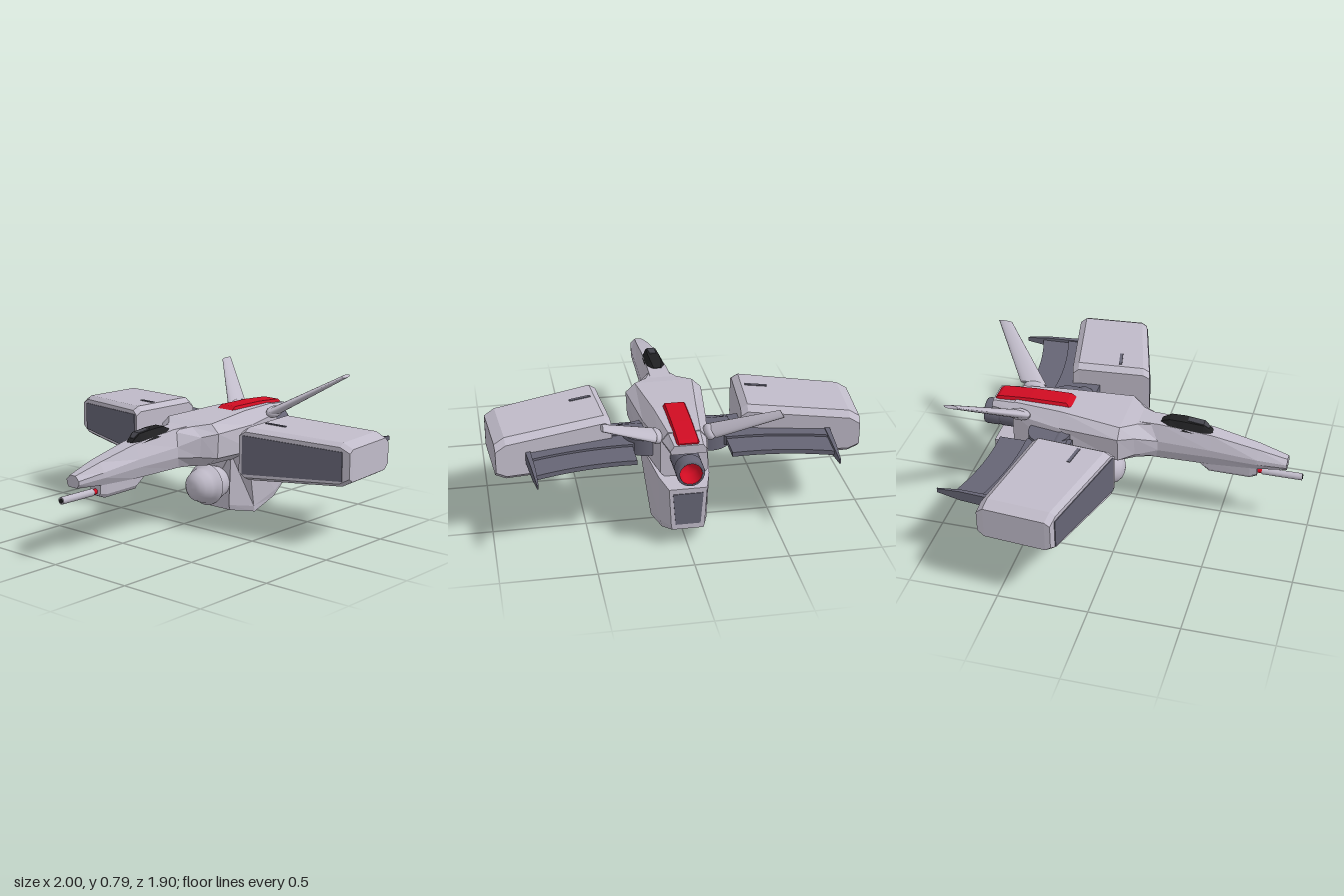
import * as THREE from 'three';

const mat = (name, color, extra = {}) => {
  const m = new THREE.MeshStandardMaterial({ color, ...extra });
  m.name = name;
  return m;
};

// Skin over closed rings (each clockwise seen from +z, ordered front to back), with end caps.
function loft(rings) {
  const p = [];
  const tri = (a, b, c) => p.push(...a, ...b, ...c);
  const n = rings[0].length;
  for (let i = 0; i < rings.length - 1; i++) {
    const [r, s] = [rings[i], rings[i + 1]];
    for (let j = 0; j < n; j++) {
      const k = (j + 1) % n;
      tri(r[j], r[k], s[k]);
      tri(r[j], s[k], s[j]);
    }
  }
  const [f, b] = [rings[0], rings[rings.length - 1]];
  for (let j = 1; j < n - 1; j++) {
    tri(f[0], f[j + 1], f[j]);
    tri(b[0], b[j], b[j + 1]);
  }
  const g = new THREE.BufferGeometry();
  g.setAttribute('position', new THREE.Float32BufferAttribute(p, 3));
  g.computeVertexNormals();
  return g;
}

// Symmetric ring from right-hand points listed top to bottom.
const sym = (half) => [...half, ...half.slice().reverse().map(([x, y, z]) => [-x, y, z])];
const at = (z, ...pts) => sym(pts.map(([x, y]) => [x, y, z]));

// Copy reflected in x with its faces turned the right way round.
function mirrored(geo) {
  const g = geo.index ? geo.toNonIndexed() : geo.clone();
  for (const a of Object.values(g.attributes)) {
    const s = a.itemSize, d = a.array;
    for (let i = 0; i < a.count; i += 3)
      for (let k = 0; k < s; k++) {
        const u = (i + 1) * s + k, v = (i + 2) * s + k;
        [d[u], d[v]] = [d[v], d[u]];
      }
  }
  for (const name of ['position', 'normal']) {
    const a = g.attributes[name];
    for (let i = 0; i < a.count; i++) a.setX(i, -a.getX(i));
  }
  return g;
}

export function createModel() {
  const model = new THREE.Group();
  const light = mat('hull grey', 0xc0bbc9);
  const dark = mat('dark grey', 0x666575);
  const red = mat('red', 0xd00c22, { side: THREE.DoubleSide });
  const black = mat('canopy black', 0x202022);
  const glass = mat('canopy glass', 0x45454d);

  const add = (name, geo, material) => {
    const m = new THREE.Mesh(geo, material);
    m.name = name;
    model.add(m);
    return m;
  };
  const pair = (name, geo, material) => {
    add('left' + name, geo, material);
    add('right' + name, mirrored(geo), material);
  };
  const latheZ = (pts, y, segs = 28) =>
    new THREE.LatheGeometry(pts.map(([r, z]) => new THREE.Vector2(r, z)), segs).rotateX(Math.PI / 2).translate(0, y, 0);
  const rodZ = (r, z0, z1, y, segs = 14) =>
    new THREE.CylinderGeometry(r, r, z1 - z0, segs).rotateX(Math.PI / 2).translate(0, y, (z0 + z1) / 2);

  // Fuselage: slim nose widening into a tapering body
  add('nose', loft([
    at(0.865, [0.02, 0.455], [0.045, 0.43], [0.045, 0.41], [0.03, 0.39]),
    at(0.70, [0.035, 0.5], [0.068, 0.45], [0.068, 0.42], [0.045, 0.377]),
    at(0.44, [0.045, 0.555], [0.076, 0.475], [0.076, 0.43], [0.055, 0.367]),
    at(0.15, [0.055, 0.585], [0.085, 0.49], [0.085, 0.43], [0.06, 0.365]),
    at(-0.04, [0.06, 0.588], [0.085, 0.49], [0.085, 0.43], [0.06, 0.365]),
  ]), light);
  add('body', loft([
    at(0.15, [0.04, 0.575], [0.083, 0.49], [0.083, 0.43], [0.05, 0.366]),
    at(0.03, [0.085, 0.587], [0.155, 0.535], [0.145, 0.42], [0.08, 0.362]),
    at(-0.05, [0.16, 0.6], [0.212, 0.55], [0.205, 0.41], [0.12, 0.355]),
    at(-0.4, [0.115, 0.615], [0.17, 0.54], [0.18, 0.39], [0.1, 0.34]),
    at(-0.68, [0.085, 0.612], [0.125, 0.56], [0.125, 0.38], [0.09, 0.345]),
  ]), light);
  add('tailRoof', loft([
    at(-0.66, [0.085, 0.608], [0.12, 0.565], [0.11, 0.545]),
    at(-0.81, [0.075, 0.598], [0.095, 0.57], [0.09, 0.55]),
  ]), light);

  // Canopy with a front pane
  add('canopy', loft([
    at(0.44, [0.015, 0.556], [0.028, 0.545]),
    at(0.39, [0.028, 0.6], [0.05, 0.55]),
    at(0.28, [0.032, 0.61], [0.056, 0.56]),
    at(0.2, [0.03, 0.61], [0.054, 0.57]),
    at(0.15, [0.02, 0.588], [0.03, 0.575]),
  ]), black);
  add('canopyPane', loft([
    at(0.42, [0.012, 0.578], [0.012, 0.574]),
    at(0.39, [0.022, 0.604], [0.022, 0.599]),
    at(0.3, [0.018, 0.612], [0.018, 0.606]),
  ]), glass);

  // Chin gun
  add('gunMount', loft([
    at(0.7, [0.04, 0.39], [0.036, 0.33], [0.022, 0.315]),
    at(0.66, [0.046, 0.39], [0.042, 0.32], [0.026, 0.298]),
    at(0.43, [0.05, 0.38], [0.046, 0.325], [0.03, 0.303]),
    at(0.37, [0.05, 0.375], [0.047, 0.368], [0.03, 0.362]),
  ]), light);
  add('gunCollar', rodZ(0.015, 0.66, 0.74, 0.336), red);
  add('gunBarrel', rodZ(0.02, 0.725, 0.95, 0.336), light);
  add('gunMuzzle', rodZ(0.013, 0.945, 0.953, 0.336), black);

  // Belly turret
  add('turret', latheZ([[0, -0.335], [0.05, -0.325], [0.088, -0.295], [0.1, -0.25], [0.104, -0.205],
    [0.12, -0.2], [0.12, -0.18], [0.104, -0.172], [0.098, -0.14], [0.08, -0.1], [0.055, -0.077], [0.03, -0.067], [0, -0.064]], 0.197), light);

  // Ventral housing with rear window
  add('ventralHousing', loft([
    sym([[0.105, 0.38, -0.285], [0.09, 0.07, -0.288], [0.085, 0.035, -0.305]]),
    sym([[0.188, 0.4, -0.34], [0.145, 0.04, -0.45], [0.14, 0.003, -0.465]]),
    sym([[0.135, 0.357, -0.68], [0.125, 0.09, -0.675], [0.115, 0.05, -0.675]]),
    sym([[0.1, 0.343, -0.805], [0.088, 0.125, -0.805], [0.082, 0.105, -0.805]]),
  ]), light);
  add('rearWindow', loft([
    at(-0.8, [0.08, 0.315], [0.066, 0.135]),
    at(-0.809, [0.08, 0.315], [0.066, 0.135]),
  ]), dark);

  // Engine nozzle with red throat
  add('nozzle', latheZ([[0.058, -0.875], [0.07, -0.875], [0.074, -0.865], [0.074, -0.8], [0.069, -0.795],
    [0.069, -0.78], [0.074, -0.775], [0.074, -0.62]].map(([r, z]) => [r, z]), 0.468), dark);
  add('nozzleThroat', latheZ([[0.06, -0.876], [0.045, -0.8], [0, -0.79]], 0.468), red);

  // Red dorsal block
  add('dorsalBlock', loft([
    at(-0.355, [0.05, 0.612], [0.07, 0.6]),
    at(-0.385, [0.052, 0.632], [0.07, 0.6]),
    at(-0.6, [0.052, 0.63], [0.07, 0.59]),
    at(-0.78, [0.052, 0.618], [0.07, 0.575]),
    at(-0.8, [0.05, 0.605], [0.068, 0.575]),
  ]), red);

  // Wing pods: chamfered boxes, raked along the x axis
  const podRing = (xi, xo, zi, zo, inset) => {
    const pt = (x, t) => {
      const k = (x - xi) / (xo - xi);
      const top = 0.62 - 0.033 * k - inset, bottom = 0.32 + 0.033 * k + inset;
      return [x, t > 0 ? top - (t - 1) : bottom + (-t - 1), zi + (zo - zi) * k];
    };
    const c = 0.028;
    return [pt(xo - 0.055, 1), pt(xo, 1 + c), pt(xo, -1 - c), pt(xo - 0.055, -1),
      pt(xi + 0.035, -1), pt(xi, -1 - c), pt(xi, 1 + c), pt(xi + 0.035, 1)];
  };
  pair('WingPod', loft([
    podRing(0.385, 1.0, -0.018, -0.19, 0.02),
    podRing(0.382, 1.0, -0.055, -0.22, 0),
    podRing(0.352, 0.972, -0.435, -0.56, 0),
    podRing(0.348, 0.968, -0.47, -0.597, 0.03),
  ]), light);
  const intake = (dz) => {
    const z = (x) => -0.018 - (x - 0.385) * 0.2797 + dz;
    return [[0.96, 0.545, z(0.96)], [0.96, 0.385, z(0.96)], [0.405, 0.36, z(0.405)], [0.405, 0.578, z(0.405)]];
  };
  pair('PodIntake', loft([intake(0.005), intake(-0.003)]), dark);
  // Small vent slots above and below each pod
  for (const y of [0.6145, 0.3255])
    pair(y > 0.5 ? 'PodTopSlot' : 'PodLowerSlot',
      new THREE.BoxGeometry(0.12, 0.008, 0.018).rotateZ(y > 0.5 ? -0.053 : 0.053).rotateY(0.2).translate(0.485, y, -0.215), dark);

  // Shoulder joints and arms
  pair('ShoulderDisc', new THREE.CylinderGeometry(0.12, 0.12, 0.09, 28).translate(0.17, 0.47, -0.45), dark);
  pair('ShoulderBlock', new THREE.CylinderGeometry(0.055, 0.055, 0.16, 8).rotateZ(Math.PI / 2).translate(0.215, 0.468, -0.38), dark);
  pair('Arm', new THREE.BoxGeometry(0.2, 0.06, 0.14).translate(0.3, 0.468, -0.38), dark);

  // Rear wings: main plate and a thinner curved flap
  const plate = (y, depth, draw) => {
    const s = new THREE.Shape();
    draw(s);
    return new THREE.ExtrudeGeometry(s, { depth, bevelEnabled: false, curveSegments: 10 })
      .rotateX(-Math.PI / 2).translate(0, y, 0);
  };
  pair('RearWing', plate(0.445, 0.05, (s) => {
    s.moveTo(0.2, 0.34);
    s.lineTo(0.36, 0.35);
    s.lineTo(0.8, 0.54);
    s.lineTo(0.8, 0.635);
    s.quadraticCurveTo(0.52, 0.55, 0.25, 0.56);
    s.lineTo(0.2, 0.5);
  }), dark);
  pair('RearFlap', plate(0.458, 0.025, (s) => {
    s.moveTo(0.25, 0.54);
    s.quadraticCurveTo(0.52, 0.53, 0.8, 0.61);
    s.lineTo(0.785, 0.79);
    s.quadraticCurveTo(0.52, 0.7, 0.25, 0.715);
  }), dark);
  const prong = (z, x0, x1, y0, y1) => [[x1, y1, z], [x1, y0, z], [x0, y0, z], [x0, y1, z]];
  pair('WingTip', loft([
    prong(-0.56, 0.785, 0.812, 0.438, 0.502),
    prong(-0.75, 0.775, 0.795, 0.442, 0.5),
    prong(-0.885, 0.774, 0.782, 0.462, 0.485),
  ]), dark);

  // Swept tail fins: flattened, tapering blades
  const fin = new THREE.CylinderGeometry(1, 1, 1, 16, 1);
  const base = new THREE.Vector3(0.155, 0.585, -0.645), tip = new THREE.Vector3(0.455, 0.787, -0.905);
  const pos = fin.attributes.position;
  for (let i = 0; i < pos.count; i++) {
    const t = pos.getY(i) + 0.5;
    const chord = pos.getX(i) * (0.078 - 0.038 * t), thick = pos.getZ(i) * (0.024 - 0.014 * t);
    const c = base.clone().lerp(tip, t);
    pos.setXYZ(i, c.x + 0.55 * thick, c.y - 0.83 * thick + 0.012 * chord, c.z - chord);
  }
  fin.computeVertexNormals();
  pair('TailFin', fin, light);
  pair('FinRoot', new THREE.SphereGeometry(0.035, 14, 10).scale(0.9, 1, 1.9).translate(0.14, 0.575, -0.635), light);

  // Low-poly hull stays faceted; round parts keep smooth normals
  return model;
}
